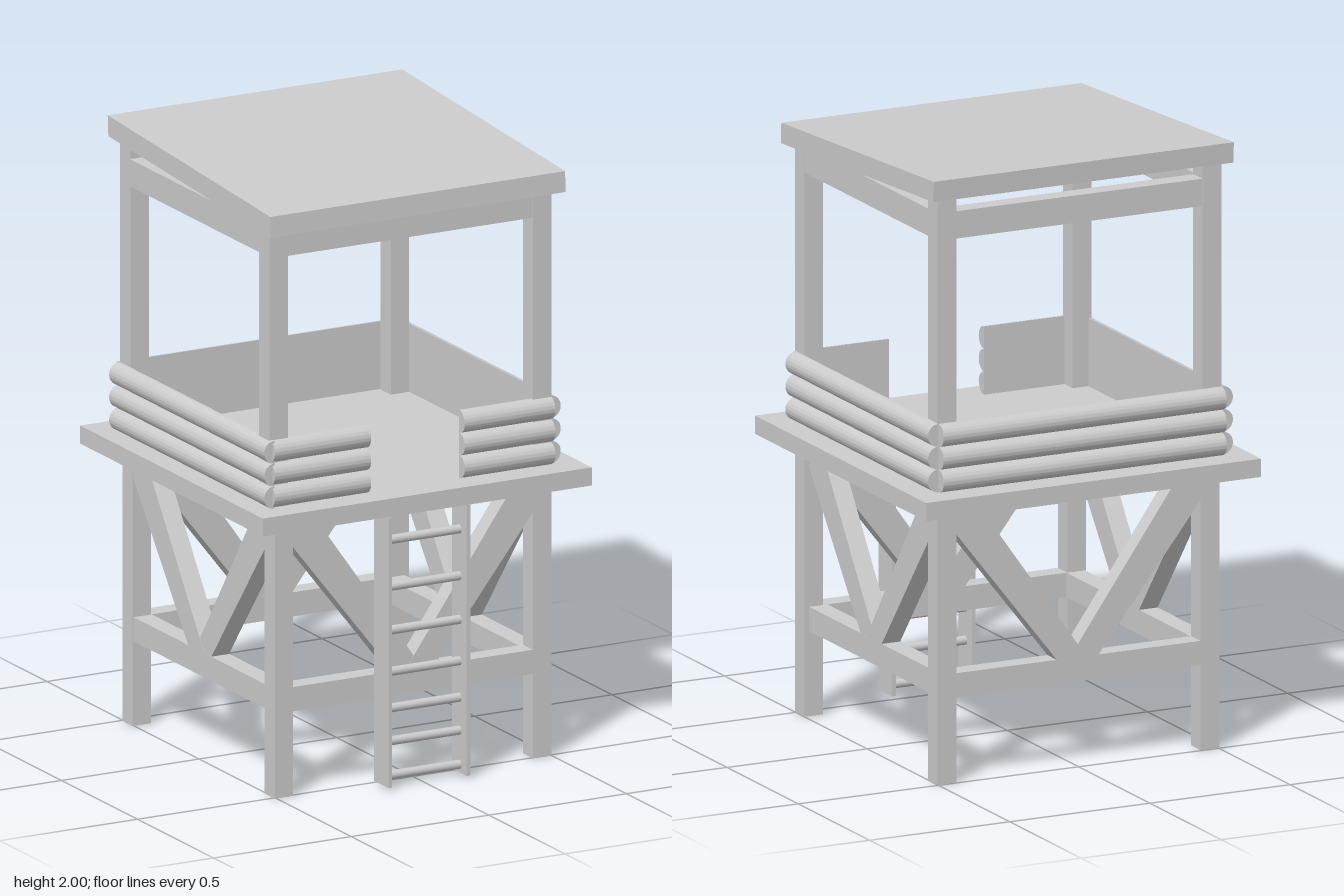
import * as THREE from 'three';
import { toCreasedNormals } from 'three/addons/utils/BufferGeometryUtils.js';

const material = new THREE.MeshStandardMaterial({ color: 0xcccccc });

function add(parent, name, geometry) {
  const mesh = new THREE.Mesh(geometry, material);
  mesh.name = name;
  parent.add(mesh);
  return mesh;
}

// Box given by its lower and upper limits on each axis
function block(parent, name, x0, x1, y0, y1, z0, z1) {
  const mesh = add(parent, name, new THREE.BoxGeometry(x1 - x0, y1 - y0, z1 - z0));
  mesh.position.set((x0 + x1) / 2, (y0 + y1) / 2, (z0 + z1) / 2);
  return mesh;
}

// Extruded outline, centred on its depth
function slab(points, depth) {
  const shape = new THREE.Shape(points.map(([x, y]) => new THREE.Vector2(x, y)));
  return new THREE.ExtrudeGeometry(shape, { depth, bevelEnabled: false }).translate(0, 0, -depth / 2);
}

// Crossbeam with two diagonal braces meeting in a V
function braceFrame(name) {
  const frame = new THREE.Group();
  frame.name = name;
  block(frame, 'crossbeam', -0.44, 0.44, 0.28, 0.36, -0.033, 0.033);
  const brace = [[0.44, 0.825], [0.44, 0.905], [0.355, 0.905], [-0.03, 0.36], [0.075, 0.36]];
  add(frame, 'braceLeft', slab(brace, 0.066));
  add(frame, 'braceRight', slab(brace, 0.064)).rotation.y = Math.PI;
  return frame;
}

// Wall of three half-round logs: flat inside, running along +x, bulging to +z
function logWall(length) {
  const r = 0.0375;
  const shape = new THREE.Shape();
  shape.moveTo(0, 0);
  for (let i = 0; i < 3; i++) shape.absarc(0, r + i * 2 * r, r, -Math.PI / 2, Math.PI / 2, false);
  shape.lineTo(0, 0);
  const geometry = new THREE.ExtrudeGeometry(shape, { depth: length, bevelEnabled: false, curveSegments: 10 });
  geometry.translate(0, 0, -length / 2).rotateY(-Math.PI / 2);
  return toCreasedNormals(geometry, 0.7);
}

export function createModel() {
  const tower = new THREE.Group();
  tower.name = 'watchtower';

  // Legs and roof posts
  for (const [z0, z1, top] of [[0.44, 0.507, 1.89], [-0.495, -0.428, 1.95]]) {
    block(tower, 'legRight', -0.505, -0.438, 0, 0.905, z0, z1);
    block(tower, 'legLeft', 0.433, 0.5, 0, 0.905, z0, z1);
    const shift = z0 > 0 ? 0 : 0.012;
    block(tower, 'roofPostRight', -0.525 + shift, -0.457 + shift, 0.965, top, z0, z1);
    block(tower, 'roofPostLeft', 0.433, 0.5, 0.965, top, z0, z1);
  }

  // Bracing between the legs
  const frames = [
    ['frontBracing', 0, 0.474, 0], ['backBracing', 0, -0.462, 0],
    ['leftBracing', 0.45, 0.006, Math.PI / 2], ['rightBracing', -0.468, 0.006, Math.PI / 2],
  ];
  for (const [name, x, z, turn] of frames) {
    const frame = braceFrame(name);
    frame.position.set(x, 0, z);
    frame.rotation.y = turn;
    tower.add(frame);
  }

  // Platform
  block(tower, 'platform', -0.6, 0.595, 0.905, 0.965, -0.6, 0.6);

  // Log walls, with an opening at the front for the ladder
  const walls = [
    ['backWall', 1.01, -0.005, -0.5, Math.PI],
    ['leftWall', 1.0, 0.5, 0, Math.PI / 2],
    ['rightWall', 1.02, -0.513, 0.01, -Math.PI / 2],
    ['frontWallLeft', 0.33, 0.335, 0.497, 0],
    ['frontWallRight', 0.35, -0.345, 0.497, 0],
  ];
  for (const [name, length, x, z, turn] of walls) {
    const wall = add(tower, name, logWall(length));
    wall.position.set(x, 0.965, z);
    wall.rotation.y = turn;
  }

  // Beams under the roof
  block(tower, 'frontRoofBeam', -0.457, 0.433, 1.79, 1.875, 0.442, 0.503);
  block(tower, 'backRoofBeam', -0.445, 0.433, 1.79, 1.88, -0.492, -0.43);
  block(tower, 'leftRoofBeam', 0.436, 0.497, 1.79, 1.88, -0.43, 0.44);
  block(tower, 'rightRoofBeam', -0.515, -0.454, 1.79, 1.88, -0.43, 0.44);

  // Sloping roof, higher at the back
  const roof = add(tower, 'roof', slab([[-0.537, 1.87], [0.533, 1.932], [0.537, 2], [-0.533, 1.938]], 1.07));
  roof.rotation.y = Math.PI / 2;

  // Ladder
  const ladder = new THREE.Group();
  ladder.name = 'ladder';
  tower.add(ladder);
  block(ladder, 'ladderRailRight', -0.145, -0.132, 0.008, 0.905, 0.508, 0.603);
  block(ladder, 'ladderRailLeft', 0.139, 0.152, 0.008, 0.905, 0.508, 0.603);
  for (const y of [0.035, 0.148, 0.257, 0.378, 0.515, 0.66, 0.815]) {
    const rung = add(ladder, 'rung', new THREE.CylinderGeometry(0.015, 0.015, 0.274, 12));
    rung.rotation.z = Math.PI / 2;
    rung.position.set(0.003, y, 0.555);
  }

  return tower;
}
